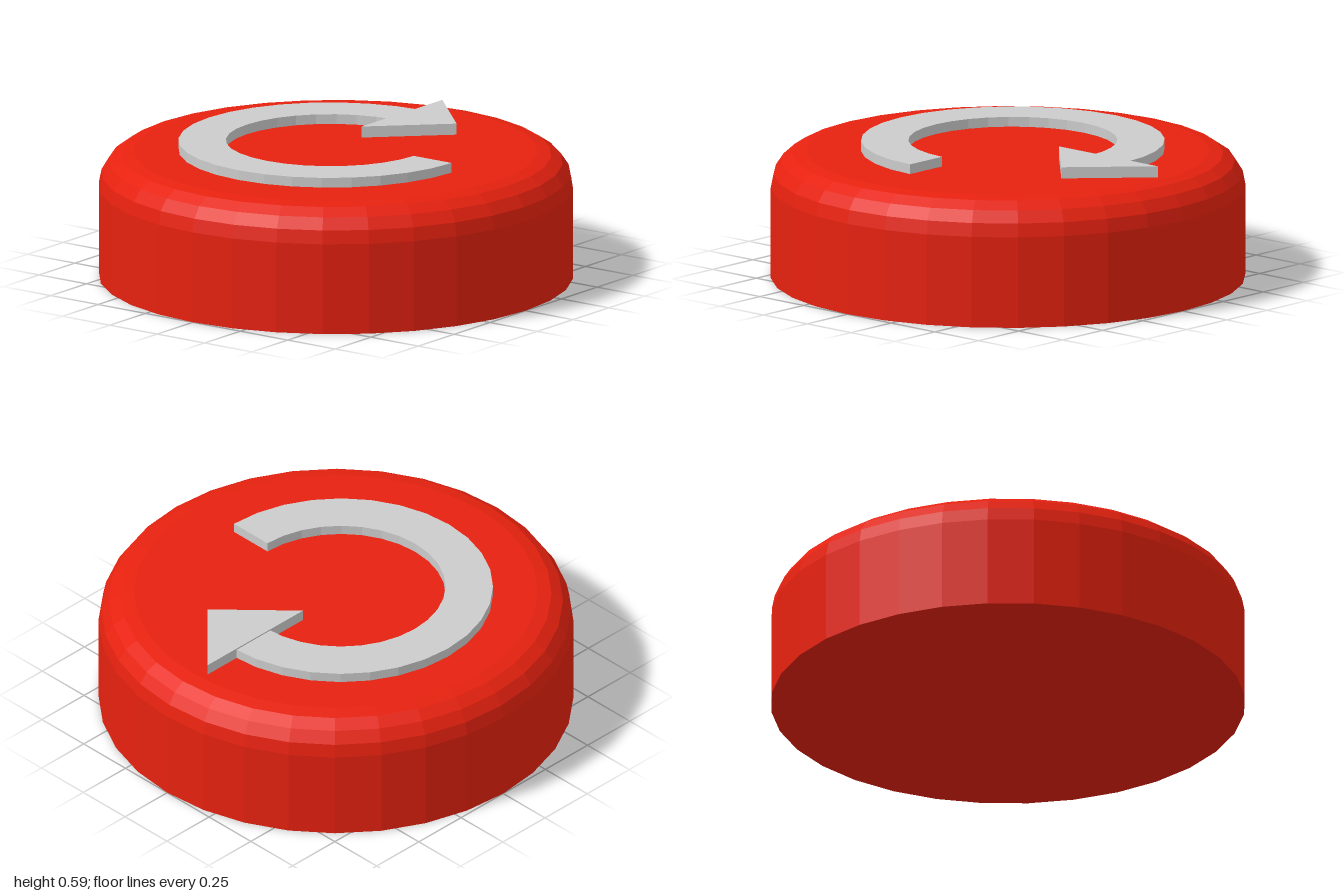
import * as THREE from 'three';

const TOP = 0.54;

// Extrudes a plan shape (shape y = -z) upwards from y = bottom to y = top
function plate(name, shape, bottom, top, material) {
  const geometry = new THREE.ExtrudeGeometry(shape, { depth: top - bottom, bevelEnabled: false, curveSegments: 12 });
  geometry.rotateX(-Math.PI / 2).translate(0, bottom, 0);
  const mesh = new THREE.Mesh(geometry, material);
  mesh.name = name;
  return mesh;
}

export function createModel() {
  const group = new THREE.Group();
  group.name = 'button';
  const red = new THREE.MeshStandardMaterial({ color: 0xe6210f, flatShading: true });
  const grey = new THREE.MeshStandardMaterial({ color: 0xcccccc, flatShading: true });

  // Round body with a rounded upper rim
  const rim = 0.15, steps = 4;
  const profile = [new THREE.Vector2(0, 0), new THREE.Vector2(1, 0)];
  for (let i = 0; i <= steps; i++) {
    const a = (i / steps) * Math.PI / 2;
    profile.push(new THREE.Vector2(1 - rim + rim * Math.cos(a), TOP - rim + rim * Math.sin(a)));
  }
  profile.push(new THREE.Vector2(0, TOP));
  const body = new THREE.Mesh(new THREE.LatheGeometry(profile, 32), red);
  body.name = 'buttonBody';
  group.add(body);

  // Three-quarter ring, open at the front on the +x side
  const ring = new THREE.Shape();
  ring.absarc(0, 0.03, 0.64, -Math.PI / 2, -2 * Math.PI, true);
  ring.absarc(0, 0.03, 0.44, -2 * Math.PI, -Math.PI / 2, false);
  ring.closePath();
  group.add(plate('arrowRing', ring, TOP - 0.01, 0.582, grey));

  // Triangular arrowhead pointing to the front
  const head = new THREE.Shape([
    new THREE.Vector2(0.245, 0.05),
    new THREE.Vector2(0.525, -0.24),
    new THREE.Vector2(0.81, 0.05),
  ]);
  group.add(plate('arrowHead', head, TOP - 0.01, 0.588, grey));

  return group;
}
